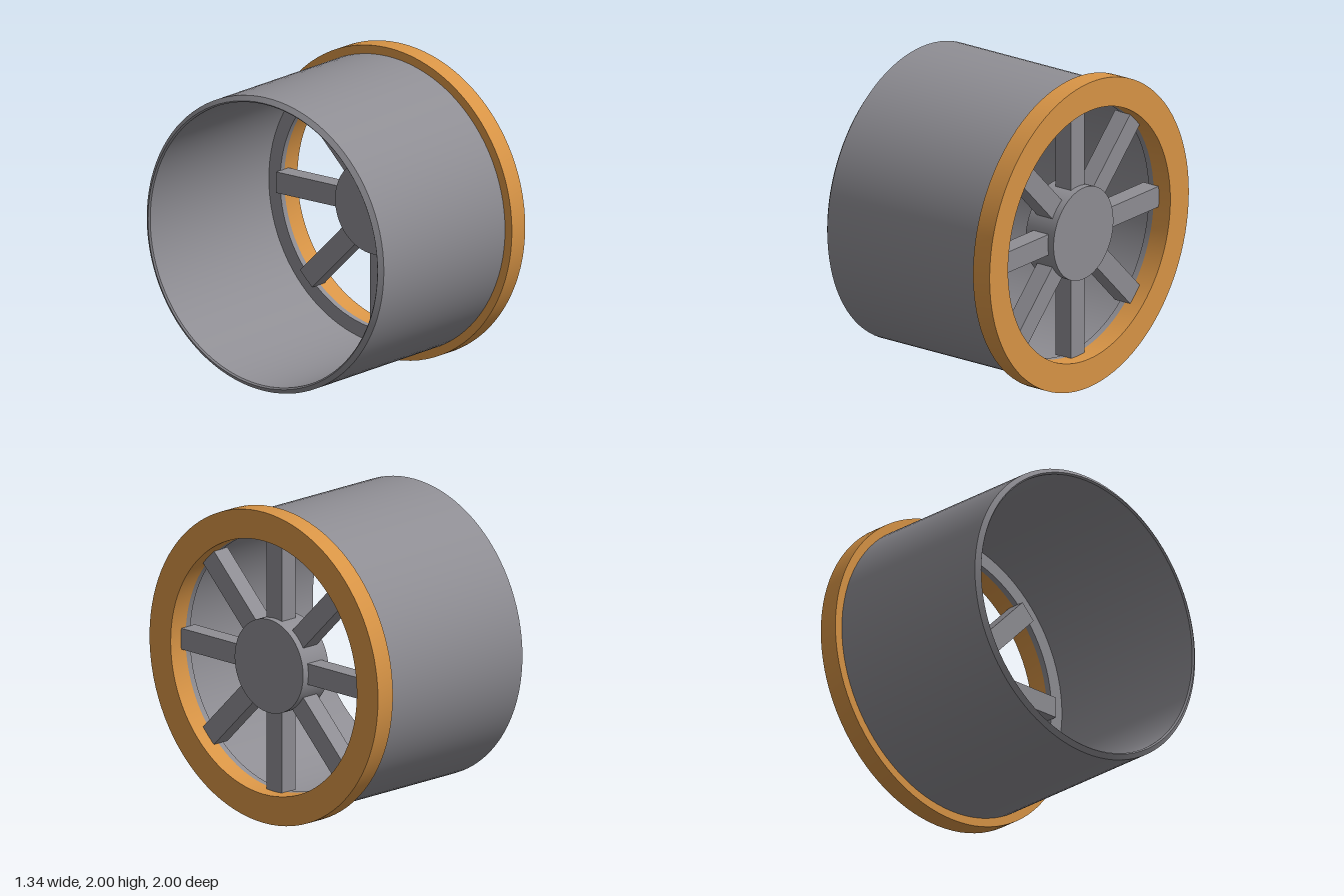
import * as THREE from 'three';
import { toCreasedNormals } from 'three/addons/utils/BufferGeometryUtils.js';

const grey = new THREE.MeshStandardMaterial({ color: 0x8f8e94 });
grey.name = 'grey metal';
const bronze = new THREE.MeshStandardMaterial({ color: 0xd99546 });
bronze.name = 'bronze';

// Closed [x, radius] profile turned around the x axis
function turned(name, profile, material) {
  const points = [...profile, profile[0]].map(([x, r]) => new THREE.Vector2(r, x));
  const geometry = toCreasedNormals(new THREE.LatheGeometry(points, 96), 0.6);
  geometry.rotateZ(-Math.PI / 2);
  const mesh = new THREE.Mesh(geometry, material);
  mesh.name = name;
  return mesh;
}

export function createModel() {
  const model = new THREE.Group();
  model.name = 'wheel';
  const wheel = new THREE.Group();
  wheel.name = 'wheelBody';
  wheel.position.y = 1;
  model.add(wheel);

  // Open barrel with a bevelled rear edge and a narrow inner lip at the front
  wheel.add(turned('barrel', [
    [-0.67, 0.915], [-0.645, 0.945], [0.54, 0.945],
    [0.54, 0.815], [0.5, 0.815], [0.5, 0.905], [-0.66, 0.905],
  ], grey));

  // Outer rim ring
  wheel.add(turned('rimRing', [
    [0.54, 1], [0.67, 1], [0.67, 0.815], [0.54, 0.815],
  ], bronze));

  // Hub
  const hub = new THREE.Mesh(new THREE.CylinderGeometry(0.3, 0.3, 0.22, 64), grey);
  hub.name = 'hub';
  hub.rotation.z = -Math.PI / 2;
  hub.position.x = 0.515;
  wheel.add(hub);

  // Eight spokes from hub to rim
  const spokeGeometry = new THREE.BoxGeometry(0.12, 0.59, 0.135).translate(0.52, 0.52, 0);
  for (let i = 0; i < 8; i++) {
    const spoke = new THREE.Mesh(spokeGeometry, grey);
    spoke.name = `spoke${i + 1}`;
    spoke.rotation.x = (i * Math.PI) / 4;
    wheel.add(spoke);
  }
  return model;
}
